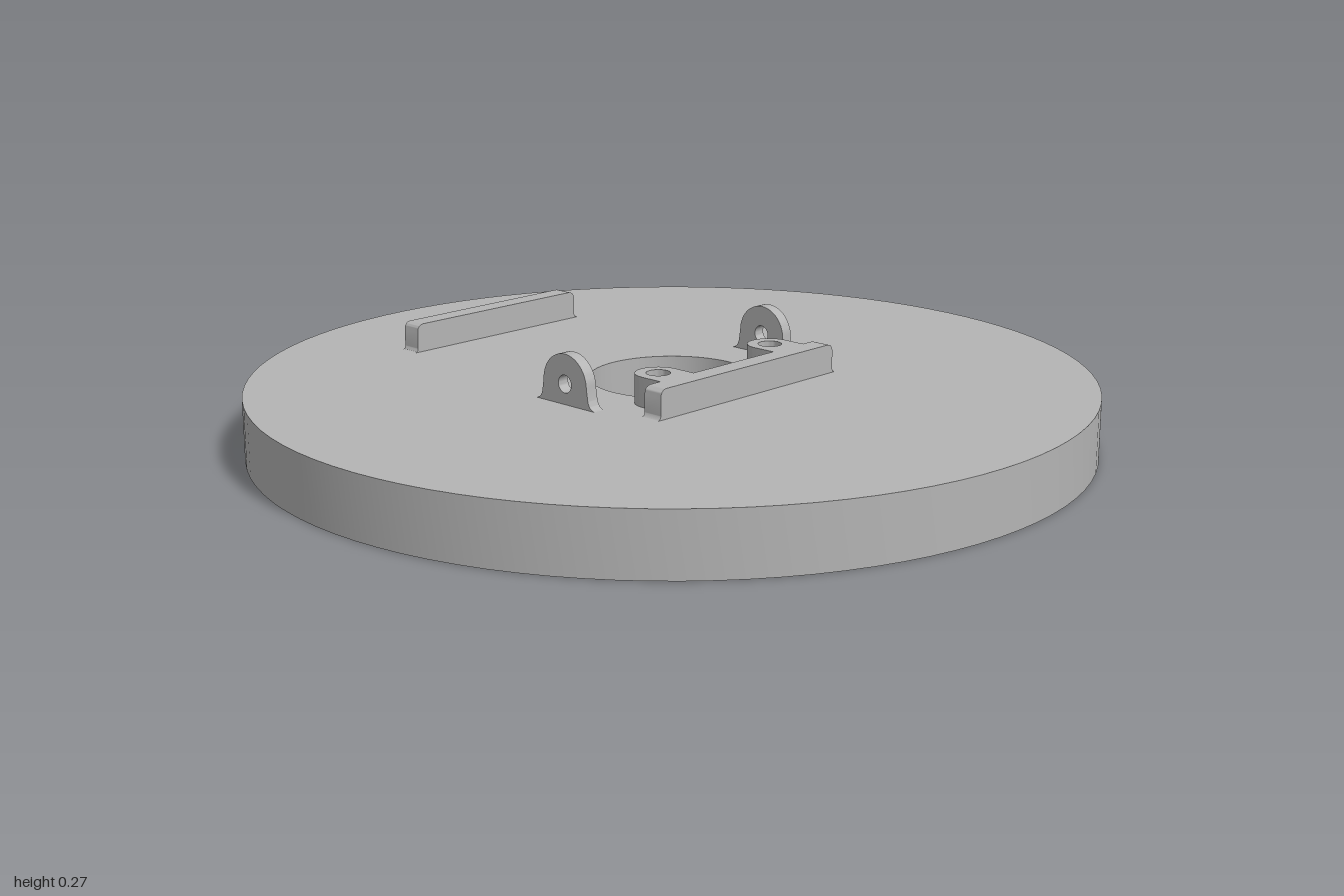
import * as THREE from 'three';
import { mergeGeometries, toCreasedNormals } from 'three/addons/utils/BufferGeometryUtils.js';

const H = 0.147;                    // disc thickness
const HUB = 0.69, RIM = 0.92;       // groove radii on the underside
const LUG = { x: 0.14, y: 0.19 };   // screw lug centre (mirrored in z)

const plain = (g) => {
  const n = g.index ? g.toNonIndexed() : g;
  n.deleteAttribute('uv');
  return n;
};

// Centre hole with two round-ended radial slots, counter-clockwise
function keyholePoints() {
  const R = 0.197, r = 0.048, d = Math.hypot(LUG.x, LUG.y);
  const t = Math.atan2(LUG.y, LUG.x), a = Math.asin(r / R);
  const pts = [];
  const arc = (cx, cy, rad, from, to, n) => {
    for (let i = 0; i <= n; i++) {
      const k = from + (to - from) * i / n;
      pts.push(new THREE.Vector2(cx + rad * Math.cos(k), cy + rad * Math.sin(k)));
    }
  };
  for (const s of [-t, t]) {
    arc(d * Math.cos(s), d * Math.sin(s), r, s - Math.PI / 2, s + Math.PI / 2, 14);
    if (s < 0) arc(0, 0, R, -t + a, t - a, 16);
    else arc(0, 0, R, t + a, 2 * Math.PI - t - a, 48);
  }
  return pts;
}

function discGeometry() {
  const hole = keyholePoints();
  const cap = (radius) => {
    const s = new THREE.Shape().absarc(0, 0, radius, 0, Math.PI * 2);
    s.holes.push(new THREE.Path(hole));
    return new THREE.ShapeGeometry(s, 48);
  };
  const top = cap(1).rotateX(-Math.PI / 2).translate(0, H, 0);
  const bottom = cap(HUB).rotateX(Math.PI / 2);
  // Hub wall, groove, rim and outer wall in one turned profile
  const turned = new THREE.LatheGeometry([
    [HUB, 0], [HUB, 0.097], [RIM, 0.097], [RIM, 0], [1, 0], [1, H],
  ].map(([x, y]) => new THREE.Vector2(x, y)), 96);
  // Inward-facing wall of the hole
  const pos = [];
  hole.forEach((p, i) => {
    const q = hole[(i + 1) % hole.length];
    pos.push(p.x, 0, -p.y, q.x, H, -q.y, q.x, 0, -q.y);
    pos.push(p.x, 0, -p.y, p.x, H, -p.y, q.x, H, -q.y);
  });
  const wall = new THREE.BufferGeometry();
  wall.setAttribute('position', new THREE.Float32BufferAttribute(pos, 3));
  wall.computeVertexNormals();
  return toCreasedNormals(mergeGeometries([top, bottom, turned, wall].map(plain)), 0.6);
}

const extrude = (shape, depth) => toCreasedNormals(
  plain(new THREE.ExtrudeGeometry(shape, { depth, bevelEnabled: false, curveSegments: 14 })), 0.6);

// Bar along z with rounded top corners and small fillets at the foot
function barGeometry(half, width, height) {
  const r = 0.02, e = half - 0.012;
  const s = new THREE.Shape();
  s.moveTo(-half, 0).lineTo(half, 0);
  s.quadraticCurveTo(e, 0, e, 0.012);
  s.lineTo(e, height - r).quadraticCurveTo(e, height, e - r, height);
  s.lineTo(-e + r, height).quadraticCurveTo(-e, height, -e, height - r);
  s.lineTo(-e, 0.012).quadraticCurveTo(-e, 0, -half, 0);
  return extrude(s, width).translate(0, 0, -width / 2).rotateY(Math.PI / 2);
}

// Upright ear with flared foot and pin hole
function earGeometry() {
  const cy = 0.048, r = 0.07;
  const s = new THREE.Shape();
  s.moveTo(-0.095, 0).lineTo(0.095, 0);
  s.quadraticCurveTo(0.078, 0.002, 0.074, 0.022);
  s.lineTo(r, cy).absarc(0, cy, r, 0, Math.PI, false);
  s.lineTo(-0.074, 0.022).quadraticCurveTo(-0.078, 0.002, -0.095, 0);
  s.holes.push(new THREE.Path().absarc(0, cy, 0.021, 0, Math.PI * 2, true));
  return extrude(s, 0.03).translate(0, 0, -0.015);
}

// Round-ended screw lug reaching from the bar to the hole
function lugGeometry(height) {
  const r = 0.054;
  const s = new THREE.Shape();
  s.moveTo(0, r).absarc(0, 0, r, Math.PI / 2, Math.PI * 1.5, false);
  s.lineTo(0.08, -r).lineTo(0.08, r).closePath();
  s.holes.push(new THREE.Path().absarc(0, 0, 0.028, 0, Math.PI * 2, true));
  return extrude(s, height).rotateX(-Math.PI / 2);
}

export function createModel() {
  const grey = new THREE.MeshStandardMaterial({ color: 0xb4b4b4 });
  grey.name = 'plain grey';
  const group = new THREE.Group();
  group.name = 'wheelDisc';
  const add = (name, geometry, x = 0, y = 0, z = 0, parent = group) => {
    const m = new THREE.Mesh(geometry, grey);
    m.name = name;
    m.position.set(x, y, z);
    parent.add(m);
    return m;
  };

  add('disc', discGeometry());

  // Radial ribs on the groove ceiling
  const ribs = new THREE.Group();
  ribs.name = 'grooveRibs';
  group.add(ribs);
  const ribGeo = new THREE.BoxGeometry(0.24, 0.03, 0.115).translate(0.803, 0.092, 0);
  for (let i = 0; i < 30; i++) {
    add('rib', ribGeo, 0, 0, 0, ribs).rotation.y = (i + 0.5) * Math.PI / 15;
  }

  // Bars on the top face
  add('outerBar', barGeometry(0.278, 0.05, 0.07), -0.64, H, 0);
  add('lugBar', barGeometry(0.305, 0.05, 0.07), 0.223, H, 0);

  // Mirrored ears and screw lugs
  const ear = earGeometry(), lug = lugGeometry(0.082);
  for (const s of [-1, 1]) {
    add('ear', ear, 0, H, s * 0.333);
    add('screwLug', lug, LUG.x, H - 0.012, s * LUG.y);
  }
  return group;
}
